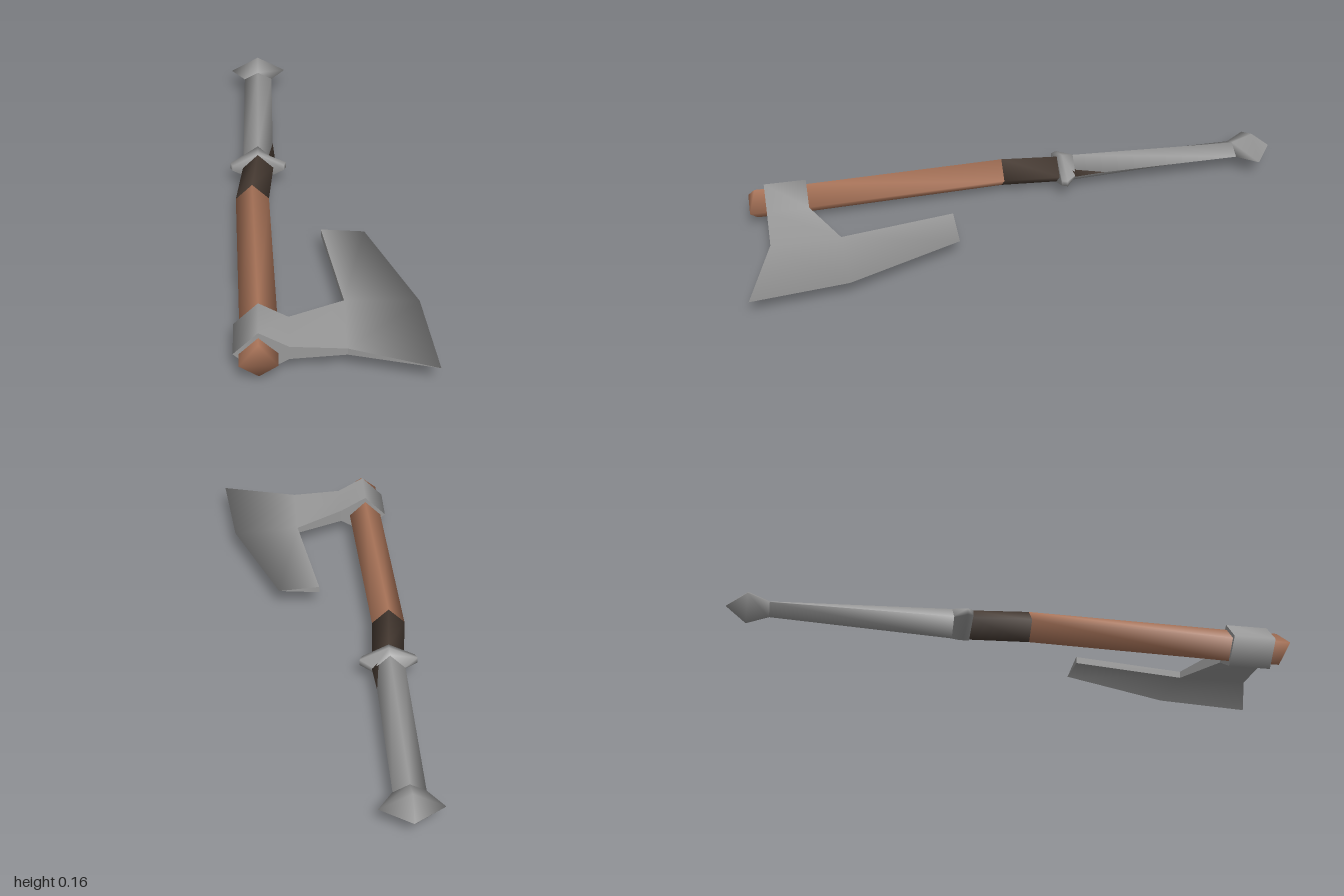
import * as THREE from 'three';
import { mergeVertices } from 'three/addons/utils/BufferGeometryUtils.js';

const AXIS_Y = 0.081;   // height of the weapon's centre line
const GRIP_X = -0.225;  // the haft lies left of the blade

const material = (name, color, side = THREE.FrontSide) => {
  const m = new THREE.MeshStandardMaterial({ color, side });
  m.name = name;
  return m;
};

// Smooth indexed geometry from points and triangles
function surface(points, index) {
  const g = new THREE.BufferGeometry();
  g.setAttribute('position', new THREE.Float32BufferAttribute(points.flat(), 3));
  g.setIndex(index);
  return g;
}

// Four-cornered cross-section; bevel pulls the top and bottom corners back in z
const diamond = (z, cx, rx, ry, bevel = 0) => [
  [cx + rx, 0, z], [cx, ry, z - bevel], [cx - rx, 0, z], [cx, -ry, z - bevel],
];

// Six-cornered cross-section with blunt sides
const blunt = (z, rx, ry, tip) => [
  [GRIP_X + rx, -tip, z], [GRIP_X + rx, tip, z], [GRIP_X, ry, z],
  [GRIP_X - rx, tip, z], [GRIP_X - rx, -tip, z], [GRIP_X, -ry, z],
];

// Skin over sections running from front to back, closed at both ends
function loft(rings) {
  const n = rings[0].length, index = [], last = (rings.length - 1) * n;
  for (let i = 0; i < rings.length - 1; i++) {
    for (let j = 0; j < n; j++) {
      const a = i * n + j, d = i * n + (j + 1) % n, b = a + n, c = d + n;
      index.push(a, b, d, b, c, d);
    }
  }
  for (let j = 1; j < n - 1; j++) {
    index.push(0, j, j + 1, last, last + j + 1, last + j);
  }
  const g = surface(rings.flat(), index);
  g.computeVertexNormals();
  return g;
}

// Axe head: socket and bearded blade, mirrored above and below the centre plane
function headGeometry() {
  const top = [
    [-0.225, 0.08, 0.9], [-0.225, 0.08, 0.75],   // socket crest
    [-0.305, 0, 0.9], [-0.305, 0, 0.75],         // socket back
    [-0.13, 0.024, 0.9], [-0.13, 0.024, 0.75],   // neck
    [0.05, 0.012, 0.9], [0.05, 0.012, 0.655],    // blade root
    [-0.01, 0.012, 0.25],                        // inner corner of the beard
    [0.33, 0, 0.99], [0.295, 0, 0.65], [0.14, 0, 0.25], // cutting edge
  ];
  const low = top.map(([x, y, z]) => [x, -y, z]);
  const n = top.length;
  const quads = [[2, 0, 1, 3], [0, 4, 5, 1], [4, 6, 7, 5], [6, 9, 10, 7], [7, 10, 11, 8]];
  const index = [];
  for (const [a, b, c, d] of quads) {
    index.push(a, b, c, a, c, d);
    index.push(n + a, n + c, n + b, n + a, n + d, n + c);
  }
  const faces = mergeVertices(surface([...top, ...low], index));
  faces.computeVertexNormals();

  // Flat rim between the two halves
  const rim = [2, 0, 4, 6, 9, 10, 11, 8, 7, 5, 1, 3];
  const pts = [], rimIndex = [];
  rim.forEach((a, i) => {
    const b = rim[(i + 1) % rim.length];
    if (top[a][1] === 0 && top[b][1] === 0) return;
    const k = pts.length;
    pts.push(low[a], low[b], top[b], top[a]);
    rimIndex.push(k, k + 1, k + 2, k, k + 2, k + 3);
  });
  const edges = surface(pts, rimIndex);
  edges.computeVertexNormals();
  return { faces, edges };
}

export function createModel() {
  const wood = material('wood', 0xa87358);
  const leather = material('dark leather', 0x463a32);
  const steel = material('steel', 0x999999, THREE.DoubleSide);
  const model = new THREE.Group();
  model.name = 'axe';

  const add = (name, geometry, mat) => {
    const mesh = new THREE.Mesh(geometry, mat);
    mesh.name = name;
    mesh.position.y = AXIS_Y;
    model.add(mesh);
  };

  // Wooden haft, bending slightly towards the wrap
  add('haft', loft([
    diamond(0.96, GRIP_X, 0.061, 0.061, 0.025),
    diamond(0.75, GRIP_X, 0.061, 0.061),
    diamond(0.03, -0.246, 0.059, 0.058),
  ]), wood);

  // Leather wrap, its tail showing through the side of the grip
  add('wrap', loft([
    diamond(0.03, -0.246, 0.059, 0.058),
    diamond(-0.18, GRIP_X, 0.056, 0.056),
    diamond(-0.24, -0.22, 0.057, 0.04),
    diamond(-0.42, -0.22, 0.045, 0.02),
  ]), leather);

  // Guard widening sideways only
  add('guard', loft([
    blunt(-0.175, 0.094, 0.059, 0.01),
    blunt(-0.195, 0.102, 0.06, 0.011),
    blunt(-0.235, 0.056, 0.057, 0.003),
  ]), steel);

  // Grip flattening towards the pommel
  add('grip', loft([
    diamond(-0.22, GRIP_X, 0.055, 0.057),
    diamond(-0.87, GRIP_X, 0.054, 0.029),
  ]), steel);

  add('pommel', loft([
    diamond(-0.855, GRIP_X, 0.054, 0.03),
    diamond(-0.93, GRIP_X, 0.107, 0.059),
    diamond(-1, GRIP_X, 0.001, 0.001),
  ]), steel);

  const head = headGeometry();
  add('axeHead', head.faces, steel);
  add('axeHeadRim', head.edges, steel);
  return model;
}
